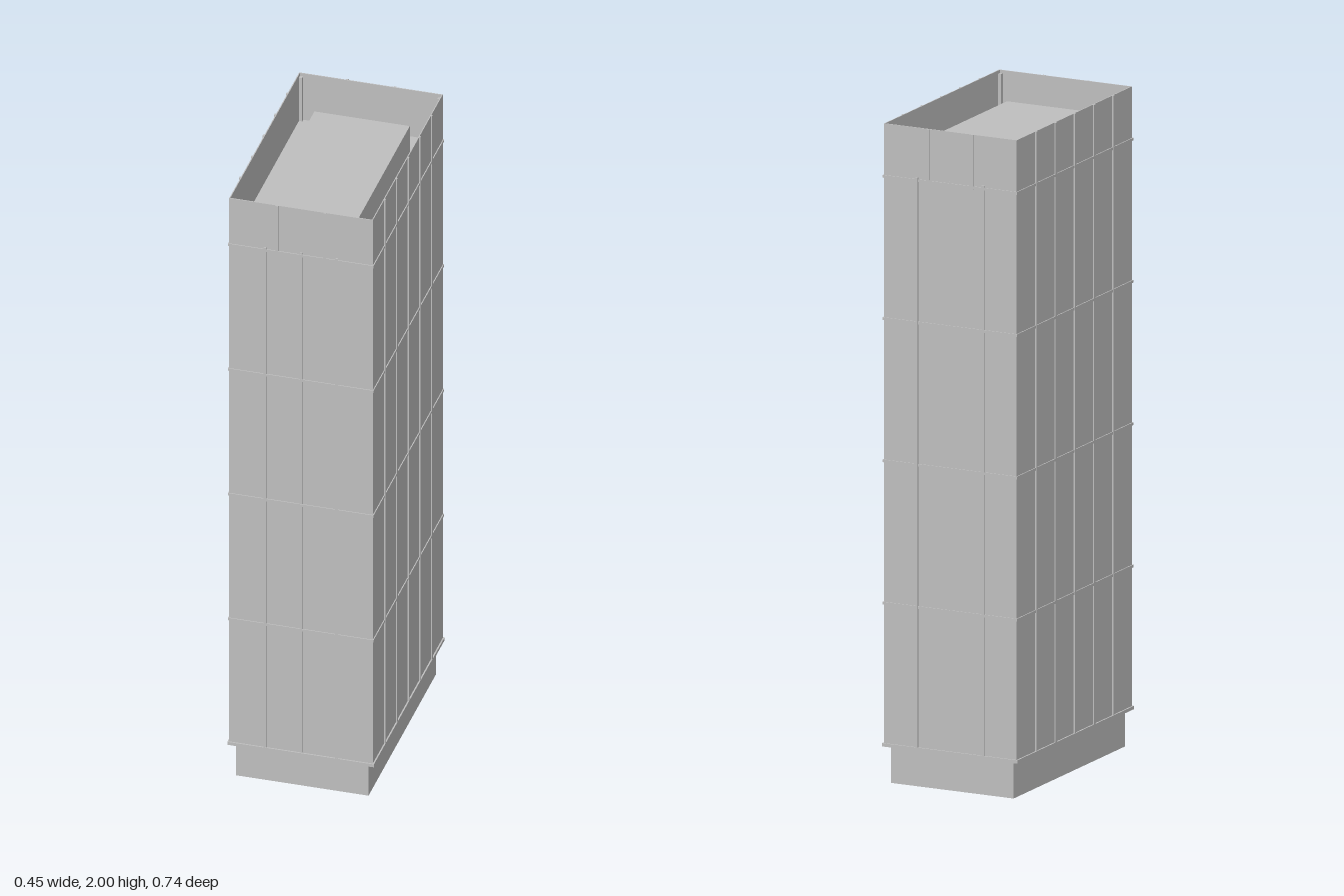
import * as THREE from 'three';

const W = 0.22, D = 0.366;        // half width and half depth of the tower
const Y0 = 0.115, YP = 1.84, TOP = 2; // ledge, parapet foot, rim
const FLOORS = 4;

export function createModel() {
  const group = new THREE.Group();
  const grey = new THREE.MeshStandardMaterial({ color: 0xbfbfbf });
  grey.name = 'grey';

  function add(name, geometry, x, y, z) {
    const mesh = new THREE.Mesh(geometry, grey);
    mesh.name = name;
    mesh.position.set(x, y, z);
    group.add(mesh);
    return mesh;
  }
  const box = (name, w, h, d, x, y, z) => add(name, new THREE.BoxGeometry(w, h, d), x, y, z);

  // Rectangular tube, open at top and bottom
  function frame(name, hw, hd, thick, y0, y1) {
    const rect = (P, a, b) => new P([[-a, -b], [a, -b], [a, b], [-a, b]].map(p => new THREE.Vector2(...p)));
    const shape = rect(THREE.Shape, hw, hd);
    shape.holes.push(rect(THREE.Path, hw - thick, hd - thick));
    const g = new THREE.ExtrudeGeometry(shape, { depth: y1 - y0, bevelEnabled: false });
    g.rotateX(-Math.PI / 2);
    return add(name, g, 0, y0, 0);
  }

  // Hollow plinth, tower body and parapet
  frame('plinth', 0.203, 0.353, 0.004, 0, Y0);
  box('towerBody', 2 * W, YP - Y0, 2 * D, 0, (Y0 + YP) / 2, 0);
  frame('parapet', W, D, 0.003, YP, TOP);
  box('roofHousing', 0.292, 0.093, 0.546, 0, YP + 0.0465, 0);

  // Posts inside the parapet corners
  for (const sx of [-1, 1]) for (const sz of [-1, 1])
    box('cornerPost', 0.01, 0.15, 0.01, sx * (W - 0.008), YP + 0.075, sz * (D - 0.008));

  // Ledge and floor bands
  frame('ledge', W + 0.0045, D + 0.0045, 0.008, Y0 - 0.003, Y0 + 0.007);
  for (let i = 1; i <= FLOORS; i++) {
    const y = Y0 + (YP - Y0) * i / FLOORS;
    frame('floorBand', W + 0.003, D + 0.003, 0.005, y - 0.004, y + 0.004);
  }

  // Vertical ribs on all four sides
  const out = 0.004, rib = 0.008;
  for (const s of [-1, 1]) {
    for (let i = -2; i <= 2; i++)
      box('sideRib', out, TOP - Y0, rib, s * (W + out / 2), (TOP + Y0) / 2, i * D / 3);
    for (const i of [-1, 0, 1]) {
      const depth = i ? out : 0.0015; // the middle rib is shallow
      box('endRib', rib, YP + 0.01 - Y0, depth, i * W / 2, (YP + 0.01 + Y0) / 2, s * (D + depth / 2));
    }
    for (const i of [-1, 1])
      box('parapetRib', rib, TOP - YP + 0.005, out, i * W / 3, (TOP + YP - 0.005) / 2, s * (D + out / 2));
  }
  return group;
}
